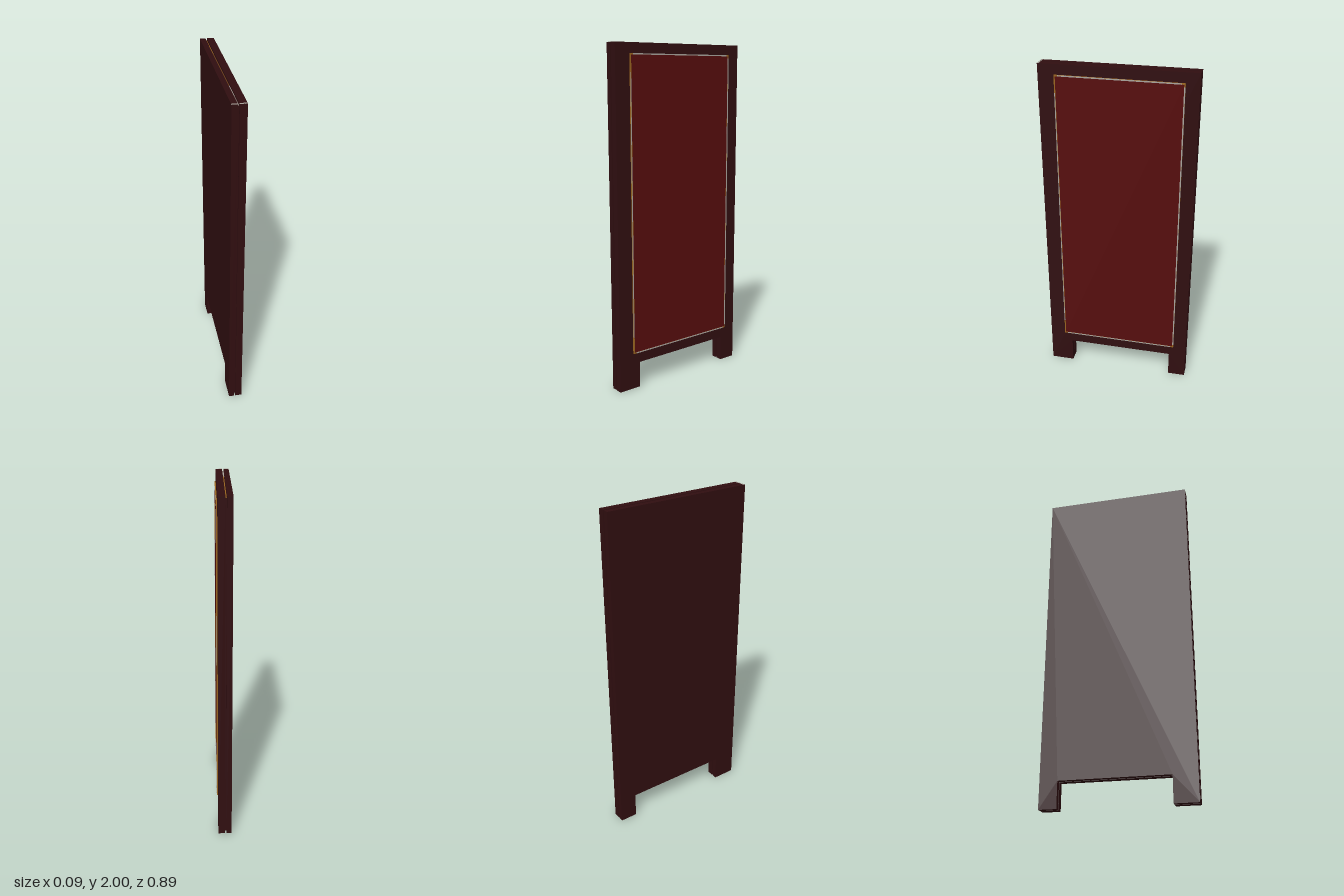
import * as THREE from 'three';

export function createModel() {
  const material = (name, color) => {
    const m = new THREE.MeshStandardMaterial({ color });
    m.name = name;
    return m;
  };
  const wood = material('dark wood', 0x300e10);
  const red = material('red panel', 0x560d0d);
  const gold = material('gold trim', 0x98641f);
  const silver = material('pale edge', 0xa8a39b);

  const group = new THREE.Group();
  group.name = 'standingBoard';

  const add = (name, geometry, mat) => {
    const mesh = new THREE.Mesh(geometry, mat);
    mesh.name = name;
    group.add(mesh);
  };
  // Box given by its limits along each axis
  const box = (name, mat, x0, x1, y0, y1, z0, z1) => {
    const g = new THREE.BoxGeometry(x1 - x0, y1 - y0, z1 - z0);
    g.translate((x0 + x1) / 2, (y0 + y1) / 2, (z0 + z1) / 2);
    add(name, g, mat);
  };
  // Board outline with two feet, extruded along x; d insets the outline
  const board = (name, x0, x1, d) => {
    const shape = new THREE.Shape([
      [-0.445 + d, d], [-0.305 - d, d], [-0.305 - d, 0.155 + d], [0.34 + d, 0.155 + d],
      [0.34 + d, d], [0.445 - d, d], [0.445 - d, 2 - d], [-0.445 + d, 2 - d],
    ].map(([u, v]) => new THREE.Vector2(u, v)));
    const g = new THREE.ExtrudeGeometry(shape, { depth: x1 - x0, bevelEnabled: false });
    g.rotateY(Math.PI / 2);
    g.translate(x0, 0, 0);
    add(name, g, wood);
  };

  // Two boards with a recessed core between them
  board('backBoard', -0.044, -0.013, 0);
  board('frontBoard', -0.004, 0.035, 0);
  board('core', -0.013, -0.004, 0.012);

  // Strips lying in the groove on top
  box('grooveStrip', gold, -0.011, -0.006, 1.988, 1.991, -0.43, 0.21);
  box('grooveEdge', silver, -0.013, -0.006, 1.988, 1.992, 0.21, 0.433);

  // Raised panel with a thin trim around it
  const y0 = 0.218, y1 = 1.942, z0 = -0.367, z1 = 0.352, w = 0.007;
  box('panel', red, 0.034, 0.041, y0 + w, y1 - w, z0 + w, z1 - w);
  box('trimBottom', gold, 0.034, 0.042, y0, y0 + w, z0, z1);
  box('trimTop', gold, 0.034, 0.042, y1 - w, y1, z0, z1);
  box('trimBack', gold, 0.034, 0.042, y0 + w, y1 - w, z0, z0 + w);
  box('trimFront', gold, 0.034, 0.042, y0 + w, y1 - w, z1 - w, z1);

  // Pale highlights on the face of the trim
  box('trimEdgeBottom', silver, 0.042, 0.043, y0, y0 + w, z0 + 0.02, z1 - 0.02);
  box('trimEdgeTop', silver, 0.042, 0.043, y1 - w, y1, z0 + 0.02, z1 - 0.02);
  box('trimEdgeBack', silver, 0.042, 0.043, y0 + 0.02, y1 - 0.02, z0, z0 + w);
  box('trimEdgeFront', silver, 0.042, 0.043, y0 + 0.1, y1 - 0.1, z1 - 0.005, z1);

  // Worn line along the front top edge of each board
  for (const [a, b] of [[-0.044, -0.013], [-0.004, 0.035]]) {
    box('topEdge', silver, a, b, 1.999, 2.0005, 0.435, 0.445);
  }
  return group;
}
